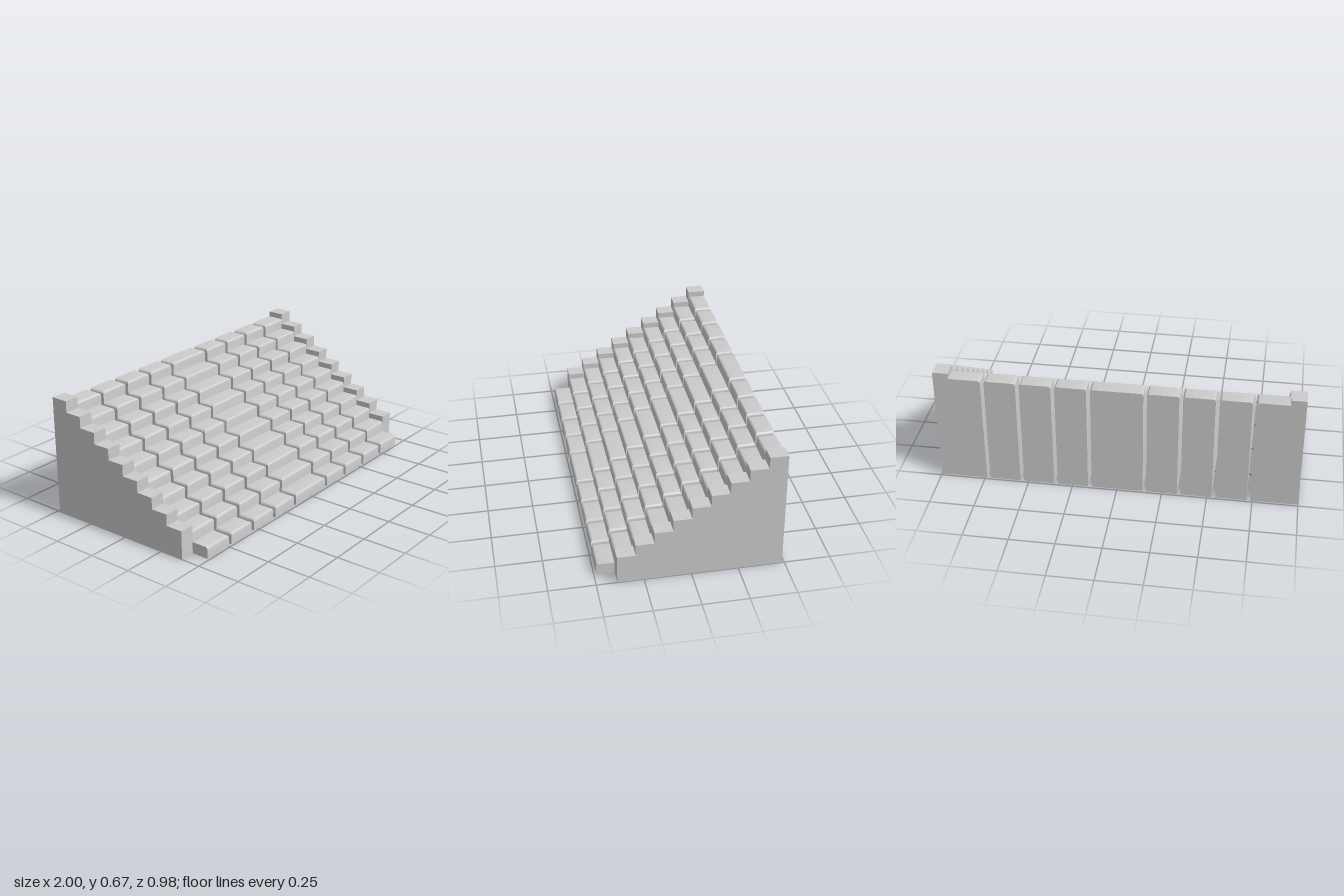
import * as THREE from 'three';
import { mergeGeometries, toCreasedNormals } from 'three/addons/utils/BufferGeometryUtils.js';

const STEPS = 10, RISE = 0.064, RUN = 0.0975, FRONT = 0.4875, RADIUS = 0.014, SEGMENTS = 4;
const WALL_INNER = 0.915;

// Block standing on the ground whose top edges are rounded at the front and,
// where asked, at the left and right (1 = rounded, 0 = square).
function stepBlock(x0, x1, zBack, zFront, top, round0, round1) {
  const rings = [[0, 0]];
  for (let i = 0; i <= SEGMENTS; i++) {
    const a = (i / SEGMENTS) * Math.PI / 2;
    rings.push([RADIUS * (1 - Math.cos(a)), top - RADIUS + RADIUS * Math.sin(a)]);
  }
  const pos = [], idx = [];
  for (const [inset, y] of rings) {
    const l = x0 + inset * round0, r = x1 - inset * round1, f = zFront - inset;
    pos.push(l, y, f, r, y, f, r, y, zBack, l, y, zBack);
  }
  for (let i = 0; i < rings.length - 1; i++) {
    for (let j = 0; j < 4; j++) {
      const a = i * 4 + j, b = i * 4 + (j + 1) % 4;
      idx.push(a, b, b + 4, a, b + 4, a + 4);
    }
  }
  const t = (rings.length - 1) * 4;
  idx.push(t, t + 1, t + 2, t, t + 2, t + 3, 0, 2, 1, 0, 3, 2);
  const geo = new THREE.BufferGeometry();
  geo.setAttribute('position', new THREE.Float32BufferAttribute(pos, 3));
  geo.setIndex(idx);
  return toCreasedNormals(geo, Math.PI / 6);
}

// One column of ten steps, separated from its neighbours by a narrow gap.
function stepColumn(x0, x1, round0, round1) {
  const blocks = [];
  for (let k = 0; k < STEPS; k++) {
    const z = FRONT - k * RUN;
    blocks.push(stepBlock(x0, x1, z - RUN, z, RISE * (k + 1), round0, round1));
  }
  return mergeGeometries(blocks);
}

// Stepped side wall, half a rise higher than the treads beside it.
function wallGeometry() {
  const shape = new THREE.Shape();
  shape.moveTo(-FRONT, 0);
  shape.lineTo(FRONT - RUN, 0);
  for (let k = 1; k < STEPS; k++) {
    const y = RISE * (k + 1.5);
    shape.lineTo(FRONT - k * RUN, y);
    shape.lineTo(FRONT - (k + 1) * RUN, y);
  }
  const geo = new THREE.ExtrudeGeometry(shape, { depth: 1 - WALL_INNER, bevelEnabled: false });
  return geo.rotateY(-Math.PI / 2);
}

export function createModel() {
  const group = new THREE.Group();
  const material = new THREE.MeshStandardMaterial({ color: 0xcccccc });
  const add = (name, geo, x = 0) => {
    const mesh = new THREE.Mesh(geo, material);
    mesh.name = name;
    mesh.position.x = x;
    group.add(mesh);
  };

  // Wide centre column
  add('centreColumn', stepColumn(-0.144, 0.142, 1, 1));

  // Four narrower columns on each side; the outermost joins the wall
  const spans = [[0.163, 0.335], [0.355, 0.527], [0.548, 0.72], [0.74, WALL_INNER]];
  spans.forEach(([a, b], i) => {
    const outer = i === spans.length - 1 ? 0 : 1;
    add(`leftColumn${i + 1}`, stepColumn(a, b, 1, outer));
    add(`rightColumn${i + 1}`, stepColumn(-b, -a, outer, 1));
  });

  // Side walls
  const wall = wallGeometry();
  add('leftWall', wall, 1);
  add('rightWall', wall, -WALL_INNER);

  return group;
}
